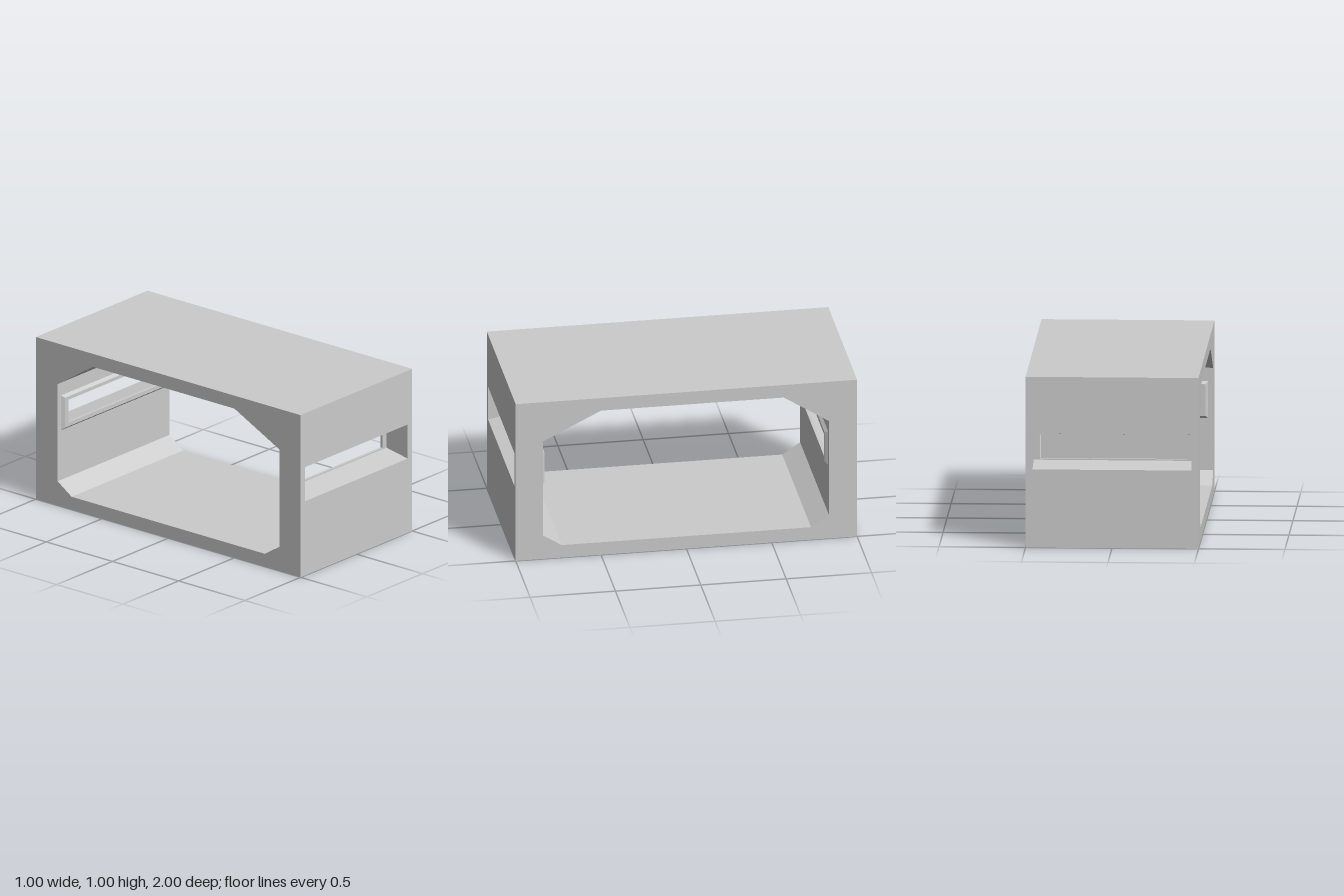
import * as THREE from 'three';

const W = 0.5, H = 1, D = 1;          // half width, height, half depth
const Z_FRONT = 0.84, Z_BACK = 0.835; // inner faces of the two end walls

// Interior outline as [z, y]: floor runs front to back, ceiling back to front
const FLOOR = [[Z_FRONT, 0.15], [0.73, 0.08], [-0.73, 0.08], [-Z_BACK, 0.15]];
const CEILING = [[-Z_BACK, 0.75], [-0.57, 0.92], [0.5, 0.92], [Z_FRONT, 0.75]];

const material = new THREE.MeshStandardMaterial({ color: 0xcccccc, flatShading: true });

function meshFromQuads(name, quads) {
  const positions = quads.flatMap(([a, b, c, d]) => [a, b, c, a, c, d]).flat();
  const geometry = new THREE.BufferGeometry();
  geometry.setAttribute('position', new THREE.Float32BufferAttribute(positions, 3));
  geometry.computeVertexNormals();
  const mesh = new THREE.Mesh(geometry, material);
  mesh.name = name;
  return mesh;
}

// Rectangle facing +z, corners anticlockwise
const rect = (halfX, y0, y1, z) =>
  [[-halfX, y0, z], [halfX, y0, z], [halfX, y1, z], [-halfX, y1, z]];

// Joins successive four-cornered loops
function loft(name, loops) {
  const quads = [];
  for (let k = 0; k < loops.length - 1; k++) {
    const a = loops[k], b = loops[k + 1];
    for (let i = 0; i < 4; i++) {
      const j = (i + 1) % 4;
      quads.push([a[i], a[j], b[j], b[i]]);
    }
  }
  return meshFromQuads(name, quads);
}

// Sweeps a [z, y] path across the full width
function strip(name, path) {
  const quads = path.slice(1).map(([z1, y1], i) => {
    const [z0, y0] = path[i];
    return [[-W, y0, z0], [W, y0, z0], [W, y1, z1], [-W, y1, z1]];
  });
  return meshFromQuads(name, quads);
}

// Flat rim around the open side of the tunnel
function sideRim(name, side) {
  const toShape = ([z, y]) => new THREE.Vector2(-side * z, y);
  const shape = new THREE.Shape([[D, 0], [-D, 0], [-D, H], [D, H]].map(toShape));
  shape.holes.push(new THREE.Path([...FLOOR, ...CEILING].map(toShape)));
  const geometry = new THREE.ShapeGeometry(shape);
  geometry.rotateY(side * Math.PI / 2);
  geometry.translate(side * W, 0, 0);
  const mesh = new THREE.Mesh(geometry, material);
  mesh.name = name;
  return mesh;
}

// End wall with a splayed window slot and a chamfered frame on its inner face
function endWall(name, zIn) {
  const wall = new THREE.Group();
  wall.name = name;
  wall.add(loft('wallWithSlot', [
    rect(W, 0, H, D),
    rect(0.46, 0.458, 0.668, D),
    rect(0.46, 0.487, 0.64, zIn),
    rect(W, 0.15, 0.75, zIn),
  ]));
  const zFace = zIn - 0.017;
  const base = rect(0.47, 0.456, 0.671, zIn);
  wall.add(loft('windowFrame', [
    base,
    rect(0.425, 0.495, 0.635, zIn),
    rect(0.425, 0.495, 0.635, zFace),
    rect(0.455, 0.471, 0.656, zFace),
    base,
  ]));
  return wall;
}

export function createModel() {
  const model = new THREE.Group();
  model.name = 'tunnelSegment';

  // Outer and inner skins
  model.add(strip('roof', [[D, H], [-D, H]]));
  model.add(strip('underside', [[-D, 0], [D, 0]]));
  model.add(strip('floor', FLOOR));
  model.add(strip('ceiling', CEILING));
  model.add(sideRim('leftRim', 1), sideRim('rightRim', -1));

  // Windowed end walls
  model.add(endWall('frontWall', Z_FRONT));
  const back = endWall('backWall', Z_BACK);
  back.rotation.y = Math.PI;
  model.add(back);

  return model;
}
